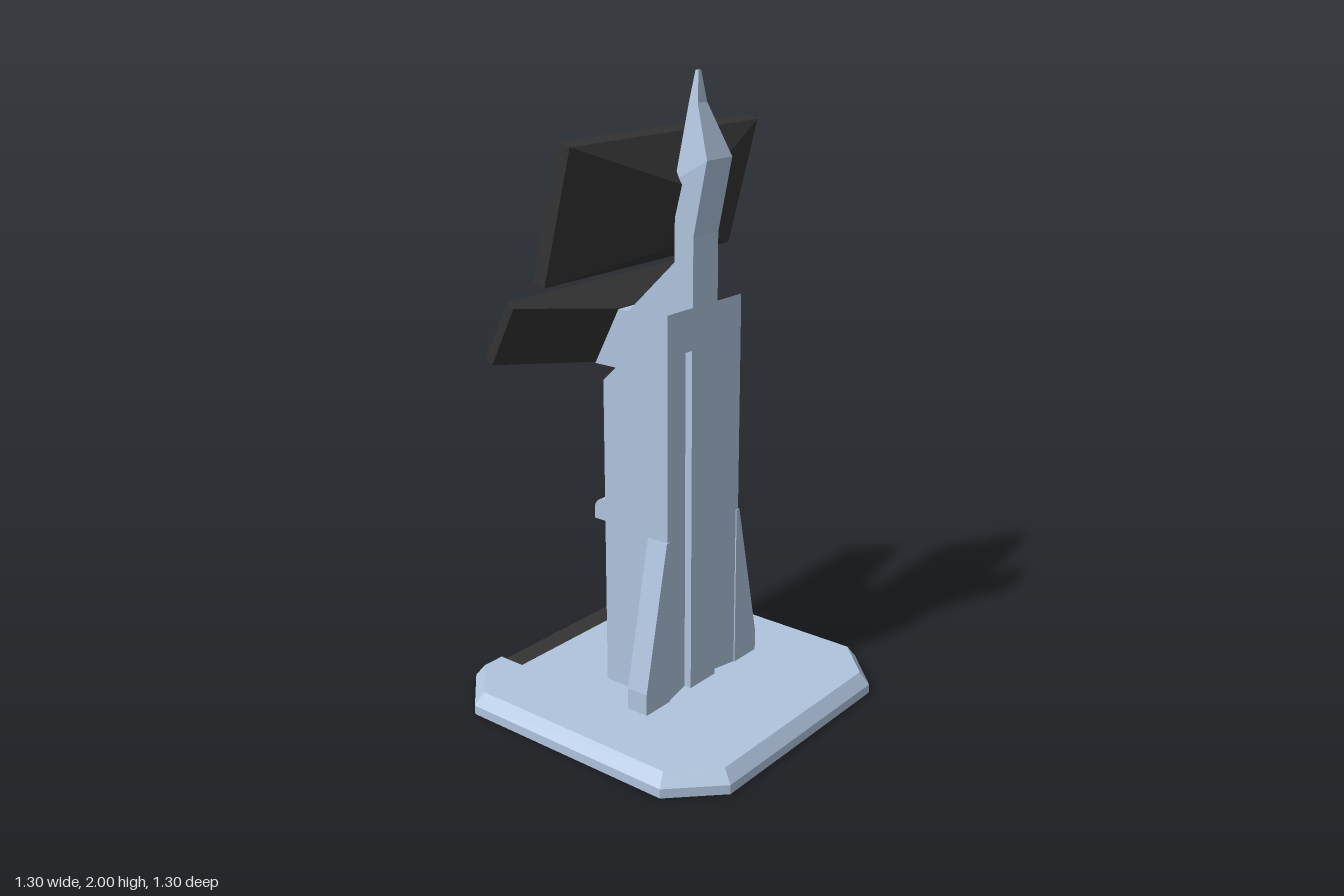
import * as THREE from 'three';

const material = (color) => new THREE.MeshStandardMaterial({ color, flatShading: true });

// Skin a stack of outlines; each point is [x, back, height], counter-clockwise
function loft(rings) {
  const pos = [];
  const n = rings[0].length;
  const tri = (a, b, c) => pos.push(...a, ...b, ...c);
  for (let r = 0; r < rings.length - 1; r++) {
    for (let i = 0; i < n; i++) {
      const j = (i + 1) % n, p = rings[r], q = rings[r + 1];
      tri(p[i], p[j], q[j]);
      tri(p[i], q[j], q[i]);
    }
  }
  const cap = (ring, flip) => {
    const faces = THREE.ShapeUtils.triangulateShape(ring.map((p) => new THREE.Vector2(p[0], p[1])), []);
    for (const [a, b, c] of faces) flip ? tri(ring[a], ring[c], ring[b]) : tri(ring[a], ring[b], ring[c]);
  };
  cap(rings[0], true);
  cap(rings[rings.length - 1], false);
  const g = new THREE.BufferGeometry();
  g.setAttribute('position', new THREE.Float32BufferAttribute(pos, 3));
  g.computeVertexNormals();
  return g;
}

const rect = (w, b0, b1, h0, h1 = h0) => [[-w, b0, h0], [w, b0, h0], [w, b1, h1], [-w, b1, h1]];

const extrude = (points, depth) => new THREE.ExtrudeGeometry(
  new THREE.Shape(points.map(([a, b]) => new THREE.Vector2(a, b))),
  { depth, bevelEnabled: false, curveSegments: 8 });

// Side profile [z, y] made into a solid of the given width, centred on x
const sideSolid = (points, width) =>
  extrude(points, width).translate(0, 0, -width / 2).rotateY(-Math.PI / 2);

// Plan outline [x, back] raised from y0 to y1
const planSolid = (points, y0, y1) =>
  extrude(points, y1 - y0).rotateX(-Math.PI / 2).translate(0, y0, 0);

function boxSpan(x0, x1, y0, y1, z0, z1) {
  return new THREE.BoxGeometry(x1 - x0, y1 - y0, z1 - z0)
    .translate((x0 + x1) / 2, (y0 + y1) / 2, (z0 + z1) / 2);
}

export function createModel() {
  const root = new THREE.Group();
  root.name = 'kiosk';
  const kiosk = new THREE.Group();
  kiosk.name = 'body';
  kiosk.rotation.y = THREE.MathUtils.degToRad(-125.4);
  root.add(kiosk);

  const blue = material(0xb0c4de), black = material(0x333333), grey = material(0xcccccc);
  const add = (name, geometry, mat = blue, parent = kiosk) => {
    const mesh = new THREE.Mesh(geometry, mat);
    mesh.name = name;
    parent.add(mesh);
    return mesh;
  };

  // Base plate: octagon, with a bevelled upper layer notched at the front
  const H = 0.525, C = 0.38;
  add('basePlate', planSolid([[-C, -H], [C, -H], [H, -C], [H, C], [C, H], [-C, H], [-H, C], [-H, -C]], 0, 0.03));
  const notched = (inset, y) => {
    const h = H - inset, c = C - inset * 0.41;
    return [[-c, -h], [-0.29, -h], [-0.29, -0.4], [0.29, -0.4], [0.29, -h], [c, -h],
      [h, -c], [h, c], [c, h], [-c, h], [-h, c], [-h, -c]].map(([x, b]) => [x, b, y]);
  };
  add('baseBevel', loft([notched(0, 0.03), notched(0.03, 0.07)]).rotateX(-Math.PI / 2));
  add('recessFloor', boxSpan(-0.29, 0.29, 0.028, 0.034, 0.4, 0.524), black);
  add('recessBack', boxSpan(-0.29, 0.29, 0.03, 0.07, 0.4, 0.404), black);
  for (const s of [-1, 1]) {
    add('recessSide', boxSpan(s * 0.288 - 0.002, s * 0.288 + 0.002, 0.03, 0.069, 0.4, 0.495), black);
  }

  // Column with a sloping top, set back below for the front slots and rear panels
  add('column', sideSolid([[-0.105, 0.07], [0.07, 0.07], [0.07, 0.6], [0.12, 0.6], [0.12, 1.08],
    [-0.13, 1.32], [-0.13, 1.19], [-0.105, 1.19]], 0.36));
  add('rearRib', boxSpan(-0.063, 0.063, 0.07, 1.19, -0.13, -0.1));
  add('frontRib', boxSpan(-0.075, 0.075, 0.07, 0.6, 0.06, 0.12));

  for (const s of [-1, 1]) {
    // Rear panels slope in towards the rib
    const wedge = [[s * 0.063, 0.105], [s * 0.18, 0.105], [s * 0.18, 0.13]];
    add('rearPanel', planSolid(wedge, 0.07, 1.19));
    // Flared side fin
    const fin = [[s * 0.17, 0.07], [s * 0.285, 0.07], [s * 0.285, 0.14], [s * 0.185, 0.61], [s * 0.17, 0.61]];
    add('sideFin', extrude(fin, 0.075).translate(0, 0, -0.132));
    // Posts and sill framing the front slots
    for (const [c, w] of [[0.168, 0.024], [0.117, 0.012]]) {
      add('frontPost', boxSpan(s * c - w / 2, s * c + w / 2, 0.07, 0.6, 0.06, 0.12));
    }
    add('frontSill', boxSpan(s * 0.125 - 0.05, s * 0.125 + 0.05, 0.07, 0.11, 0.06, 0.115));
  }

  // Rounded ledge across the front
  const ledge = [[0.11, 0.62], [0.163, 0.62]];
  for (let i = 0; i <= 6; i++) {
    const a = (i / 6) * Math.PI / 2;
    ledge.push([0.128 + 0.035 * Math.cos(a), 0.655 + 0.035 * Math.sin(a)]);
  }
  ledge.push([0.11, 0.69]);
  add('frontLedge', sideSolid(ledge, 0.36));

  // Arm carrying the lower display
  add('displayArm', sideSolid([[-0.12, 1.1], [0.1, 1.08], [0.264, 1.08], [0.165, 1.27],
    [0.125, 1.27], [-0.06, 1.45], [-0.12, 1.45]], 0.11));

  // Spine leaning back, then tapering to a point
  add('spine', loft([
    rect(0.06, 0.05, 0.13, 1.28),
    rect(0.06, 0.06, 0.13, 1.45, 1.53),
    rect(0.06, 0.062, 0.178, 1.69, 1.755),
    rect(0.022, 0.082, 0.114, 1.91),
    rect(0.006, 0.093, 0.104, 2.0),
  ]).rotateX(-Math.PI / 2));

  // Displays: a flat slab with a housing that narrows towards its mount
  function display(name, { w, h, t, mountW, mountH, depth, y, z, tilt }) {
    const group = new THREE.Group();
    group.name = name;
    group.position.set(0, y, z);
    group.rotation.x = -THREE.MathUtils.degToRad(tilt);
    kiosk.add(group);
    add('frame', new THREE.BoxGeometry(w, h, t), black, group);
    add('housing', loft([
      rect(mountW / 2, -mountH / 2, mountH / 2, -depth),
      rect(w / 2, -h / 2, h / 2, -t / 2),
    ]), black, group);
    return group;
  }
  const upper = display('upperDisplay', { w: 0.87, h: 0.42, t: 0.045, mountW: 0.12, mountH: 0.2,
    depth: 0.145, y: 1.62, z: 0.078, tilt: 15 });
  add('screen', boxSpan(-0.39, 0.39, -0.183, 0.183, 0.02, 0.0245), grey, upper);

  const lower = display('lowerDisplay', { w: 0.82, h: 0.213, t: 0.03, mountW: 0.11, mountH: 0.213,
    depth: 0.125, y: 1.236, z: 0.325, tilt: 27.5 });
  add('screen', boxSpan(-0.375, 0.375, -0.085, 0.085, 0.013, 0.017), black, lower);

  // Mirrored outlines can run clockwise; three.js re-orients shapes, so all faces point outward
  return root;
}
